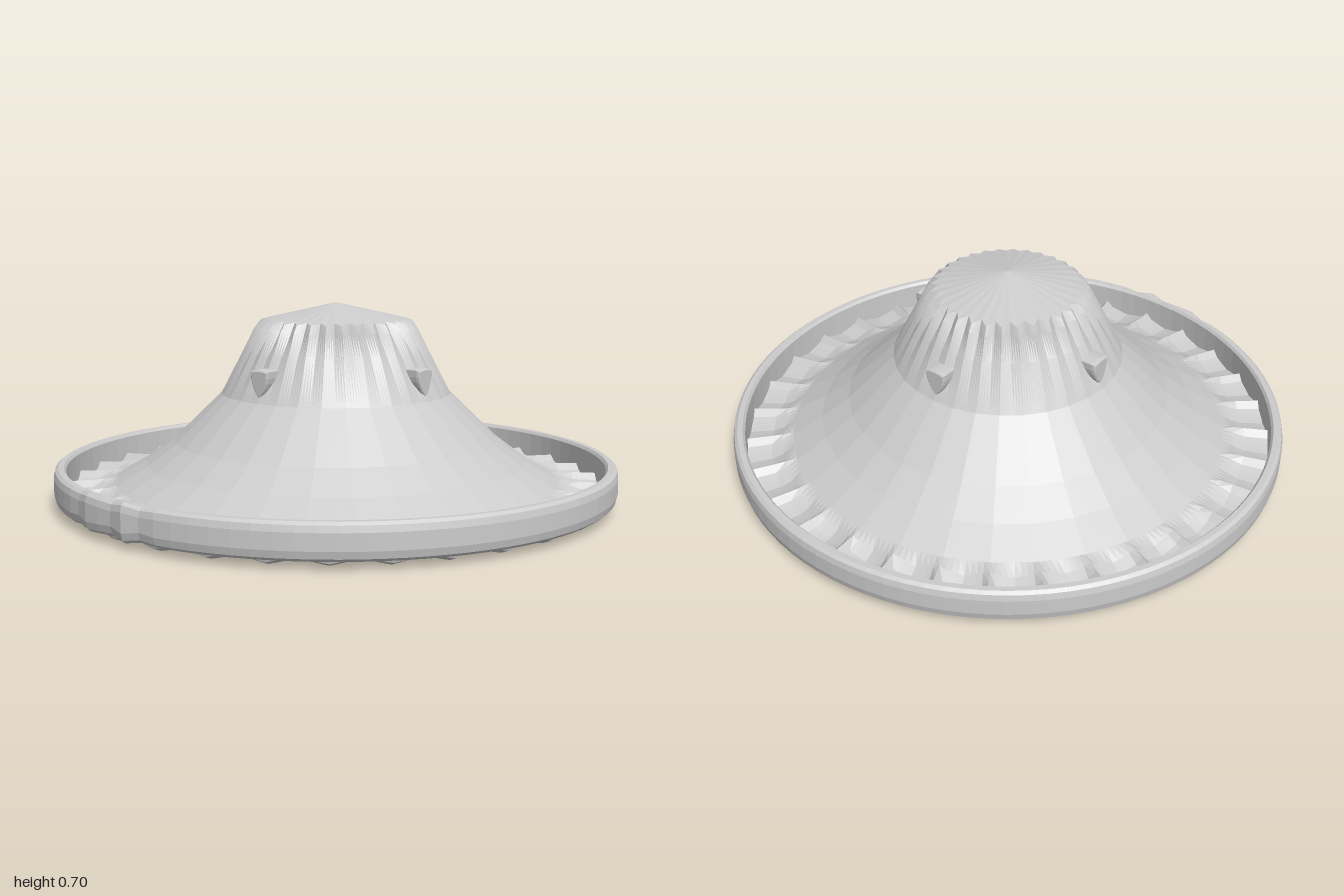
import * as THREE from 'three';

const LOBES = 32, PER = 8, N = LOBES * PER;

// Rows run from the apex to the underside: [ridge radius, ridge y, valley radius, valley y, blend power]
// The power shapes the flute between ridge and valley: 1 is a V groove, small values are a round scoop.
const ROWS = [
  [0, 0.705, 0, 0.705, 1],
  [0.272, 0.642, 0.245, 0.65, 1],
  [0.292, 0.615, 0.268, 0.612, 1],
  [0.332, 0.535, 0.322, 0.535, 1],
  [0.41, 0.385, 0.41, 0.385, 1],
  [0.58, 0.22, 0.58, 0.22, 1],
  [0.68, 0.145, 0.68, 0.145, 1],
  [0.79, 0.08, 0.79, 0.08, 1],
  [0.83, 0.078, 0.83, 0.052, 0.7],
  [0.87, 0.075, 0.87, 0.037, 0.4],
  [0.97, 0.07, 0.97, 0.03, 0.4],
  [0.965, 0.045, 0.965, 0.014, 0.6],
  [0.93, 0.03, 0.93, 0, 0.6],
  [0.86, 0.004, 0.88, 0.004, 1],
  [0, 0.004, 0, 0.004, 1],
];

// Fluted body: ring cross-sections that blend between ridge and valley
function fluted() {
  const pos = [], idx = [];
  ROWS.forEach(([r0, y0, r1, y1, p]) => {
    for (let i = 0; i <= N; i++) {
      const a = (i / N) * Math.PI * 2;
      const f = (i % PER) / PER;
      const s = Math.pow(1 - Math.abs(2 * f - 1), p);
      // plain rows keep straight facets from ridge to ridge
      const plain = r0 === r1 && y0 === y1;
      const chord = plain ? Math.cos(Math.PI / LOBES) / Math.cos((f - 0.5) * 2 * Math.PI / LOBES) : 1;
      const r = (r0 + (r1 - r0) * s) * chord;
      pos.push(r * Math.sin(a), y0 + (y1 - y0) * s, r * Math.cos(a));
    }
  });
  for (let j = 0; j < ROWS.length - 1; j++) {
    for (let i = 0; i < N; i++) {
      const a = j * (N + 1) + i, b = a + N + 1;
      if (j < ROWS.length - 2) idx.push(a, b, b + 1);
      else idx.push(a, b, a + 1);
      if (j > 0 && j < ROWS.length - 2) idx.push(a, b + 1, a + 1);
    }
  }
  const g = new THREE.BufferGeometry();
  g.setAttribute('position', new THREE.Float32BufferAttribute(pos, 3));
  g.setIndex(idx);
  g.computeVertexNormals();
  return g;
}

// Outer band with a short battered stretch on one side
function band() {
  const profile = [
    [0.957, 0.03], [0.982, 0.026], [0.994, 0.036], [1, 0.06], [1, 0.115],
    [0.995, 0.136], [0.984, 0.145], [0.965, 0.145], [0.957, 0.135], [0.957, 0.03],
  ].map(([x, y]) => new THREE.Vector2(x, y));
  const g = new THREE.LatheGeometry(profile, 96);
  const p = g.attributes.position;
  const centre = Math.atan2(-0.77, 0.64), half = 0.2;
  for (let i = 0; i < p.count; i++) {
    const x = p.getX(i), y = p.getY(i), z = p.getZ(i);
    const d = (Math.atan2(x, z) - centre) / half;
    if (Math.abs(d) > 1 || Math.hypot(x, z) < 0.97) continue;
    const wave = Math.cos(d * Math.PI * 2.5) * Math.sqrt(1 - d * d);
    const k = 1 - 0.009 * wave;
    p.setXYZ(i, x * k, y - Math.sign(y - 0.085) * 0.007 * wave, z * k);
  }
  g.computeVertexNormals();
  return g;
}

// Shield-shaped stud, its flat face outward
function stud() {
  const s = new THREE.Shape();
  s.moveTo(-0.034, 0.488);
  s.quadraticCurveTo(0, 0.497, 0.034, 0.488);
  s.quadraticCurveTo(0.036, 0.445, 0, 0.405);
  s.quadraticCurveTo(-0.036, 0.445, -0.034, 0.488);
  const g = new THREE.ExtrudeGeometry(s, {
    depth: 0.07, bevelThickness: 0.012, bevelSize: 0.007, bevelSegments: 2, curveSegments: 5,
  });
  g.translate(0, 0, 0.318);
  return g;
}

export function createModel() {
  const model = new THREE.Group();
  const mat = new THREE.MeshStandardMaterial({ color: 0xcccccc, flatShading: true });
  const add = (name, geometry) => {
    const m = new THREE.Mesh(geometry, mat);
    m.name = name;
    model.add(m);
    return m;
  };
  add('flutedBody', fluted());
  add('outerBand', band());
  const studGeometry = stud();
  for (let k = 0; k < 4; k++) {
    add('stud' + (k + 1), studGeometry).rotation.y = Math.PI / 4 + k * Math.PI / 2;
  }
  return model;
}
